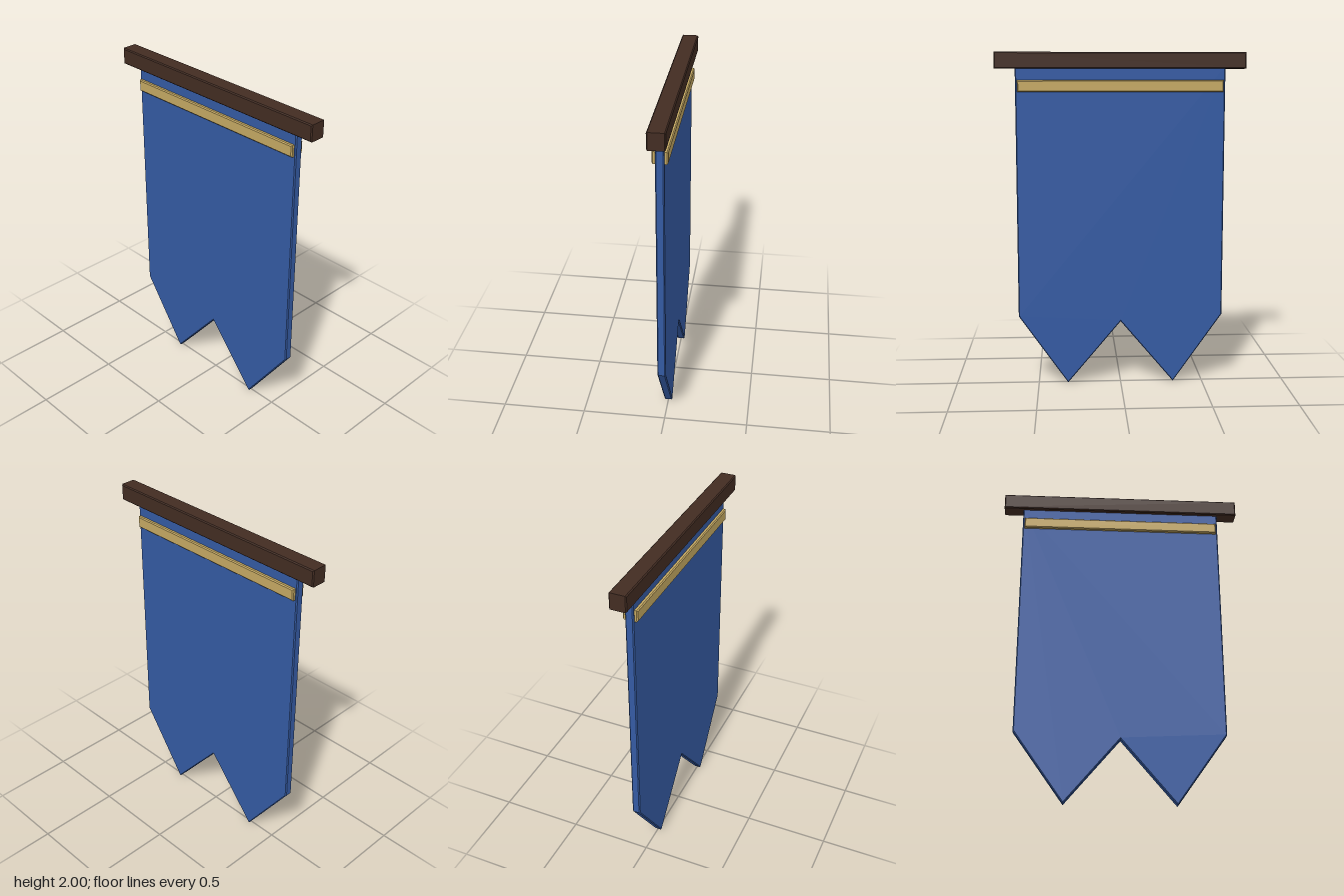
import * as THREE from 'three';

const wood = new THREE.MeshStandardMaterial({ color: 0x422c22 });
wood.name = 'dark wood';
const cloth = new THREE.MeshStandardMaterial({ color: 0x345aa2 });
cloth.name = 'blue cloth';
const gold = new THREE.MeshStandardMaterial({ color: 0xc4a862 });
gold.name = 'gold trim';

// Flat outline extruded from z0 to z1, with small bevels kept inside the outline
function slab(name, points, z0, z1, bevel, material) {
  const shape = new THREE.Shape(points.map(([x, y]) => new THREE.Vector2(x, y)));
  const geometry = new THREE.ExtrudeGeometry(shape, {
    depth: z1 - z0 - 2 * bevel,
    bevelEnabled: true,
    bevelThickness: bevel,
    bevelSize: bevel,
    bevelOffset: -bevel,
    bevelSegments: 1,
  });
  geometry.translate(0, 0, z0 + bevel);
  const mesh = new THREE.Mesh(geometry, material);
  mesh.name = name;
  return mesh;
}

const rect = (w, y0, y1) => [[-w, y0], [w, y0], [w, y1], [-w, y1]];

export function createModel() {
  const group = new THREE.Group();
  group.name = 'hangingBanner';

  // Wooden crossbar
  group.add(slab('crossbar', rect(0.737, 1.903, 2), -0.049, 0.049, 0.006, wood));

  // Swallow-tailed cloth with two points
  group.add(slab('bannerCloth', [
    [-0.618, 1.92], [-0.618, 0.42], [-0.322, 0], [0, 0.382],
    [0.322, 0], [0.618, 0.42], [0.618, 1.92],
  ], -0.024, 0.024, 0.006, cloth));

  // Gold bands on the front and back
  group.add(slab('frontBand', rect(0.606, 1.768, 1.837), 0.01, 0.043, 0.006, gold));
  group.add(slab('backBand', rect(0.606, 1.768, 1.837), -0.043, -0.01, 0.006, gold));

  return group;
}
